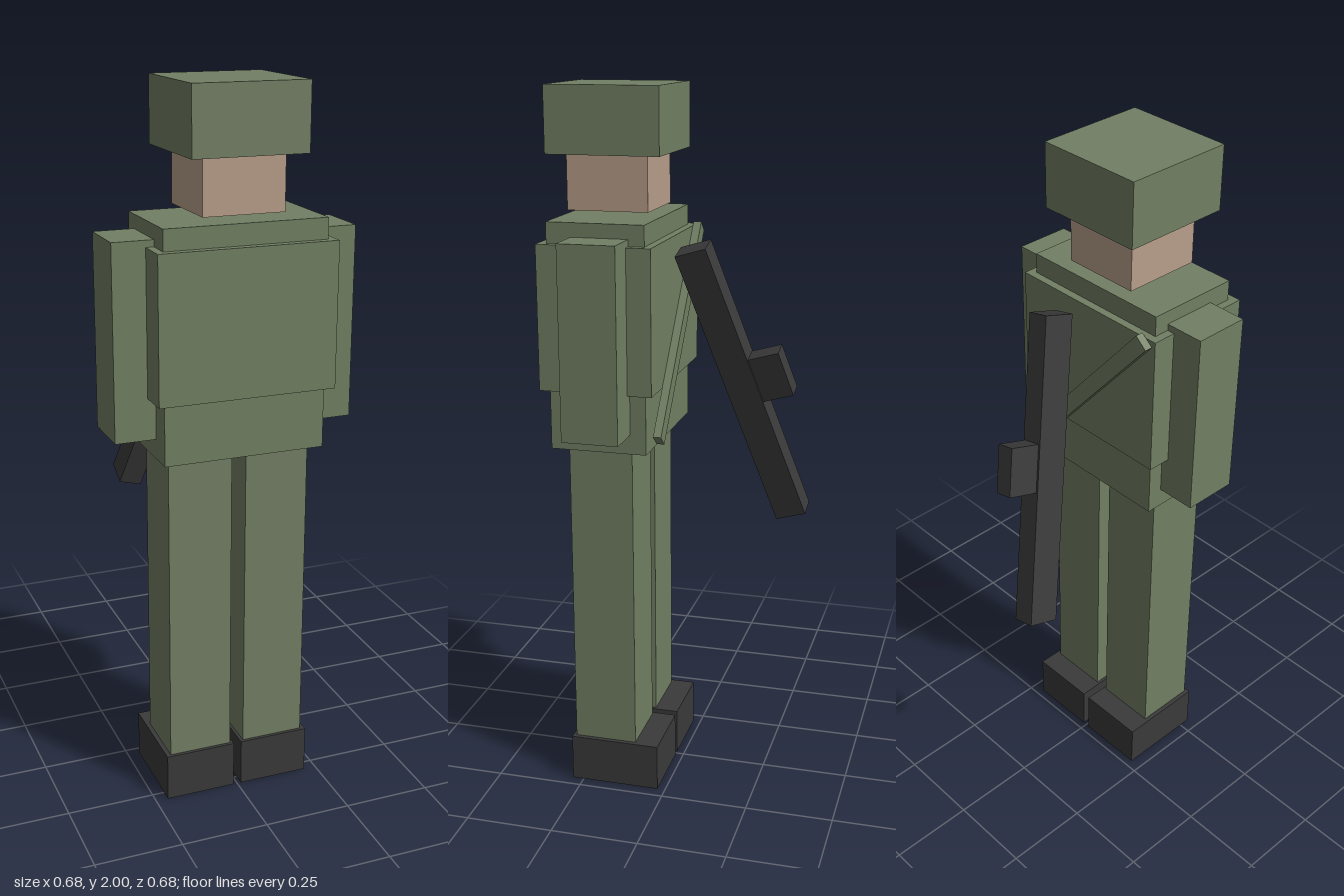
import * as THREE from 'three';

export function createModel() {
  const green = new THREE.MeshStandardMaterial({ color: 0x727f63 });
  const skin = new THREE.MeshStandardMaterial({ color: 0xb89e8a });
  const black = new THREE.MeshStandardMaterial({ color: 0x3a3a3a });
  green.name = 'olive cloth';
  skin.name = 'skin';
  black.name = 'black';

  const model = new THREE.Group();
  model.name = 'soldier';

  // Box given by its centre and size
  function box(name, material, center, size, parent = model) {
    const mesh = new THREE.Mesh(new THREE.BoxGeometry(...size), material);
    mesh.name = name;
    mesh.position.set(...center);
    parent.add(mesh);
    return mesh;
  }

  // Head and body
  box('helmet', green, [0, 1.91, 0.181], [0.316, 0.18, 0.316]);
  box('head', skin, [0, 1.782, 0.181], [0.226, 0.226, 0.226]);
  box('torso', green, [0, 1.34, 0.181], [0.452, 0.624, 0.271]);
  box('vest', green, [0, 1.396, 0.181], [0.496, 0.398, 0.316]);

  // Limbs, mirrored
  for (const [side, s] of [['left', 1], ['right', -1]]) {
    box(side + 'Arm', green, [s * 0.26, 1.348, 0.169], [0.158, 0.531, 0.158]);
    box(side + 'Leg', green, [s * 0.111, 0.58, 0.183], [0.181, 0.9, 0.181]);
    box(side + 'Boot', black, [s * 0.113, 0.068, 0.153], [0.203, 0.136, 0.26]);
  }

  // Diagonal sling across the back
  const strap = box('strap', green, [0, 1.331, 0.0115], [0.045, 0.681, 0.0225]);
  strap.rotation.z = 0.7;

  // Slung rifle, tilted as one group
  const rifle = new THREE.Group();
  rifle.name = 'rifle';
  rifle.position.set(-0.033, 1.175, -0.171);
  rifle.rotation.set(0.3, 0, -0.25, 'ZYX');
  box('rifleBody', black, [0, 0, 0], [0.068, 0.859, 0.09], rifle);
  box('magazine', black, [0, 0.018, -0.09], [0.056, 0.135, 0.09], rifle);
  model.add(rifle);

  return model;
}
